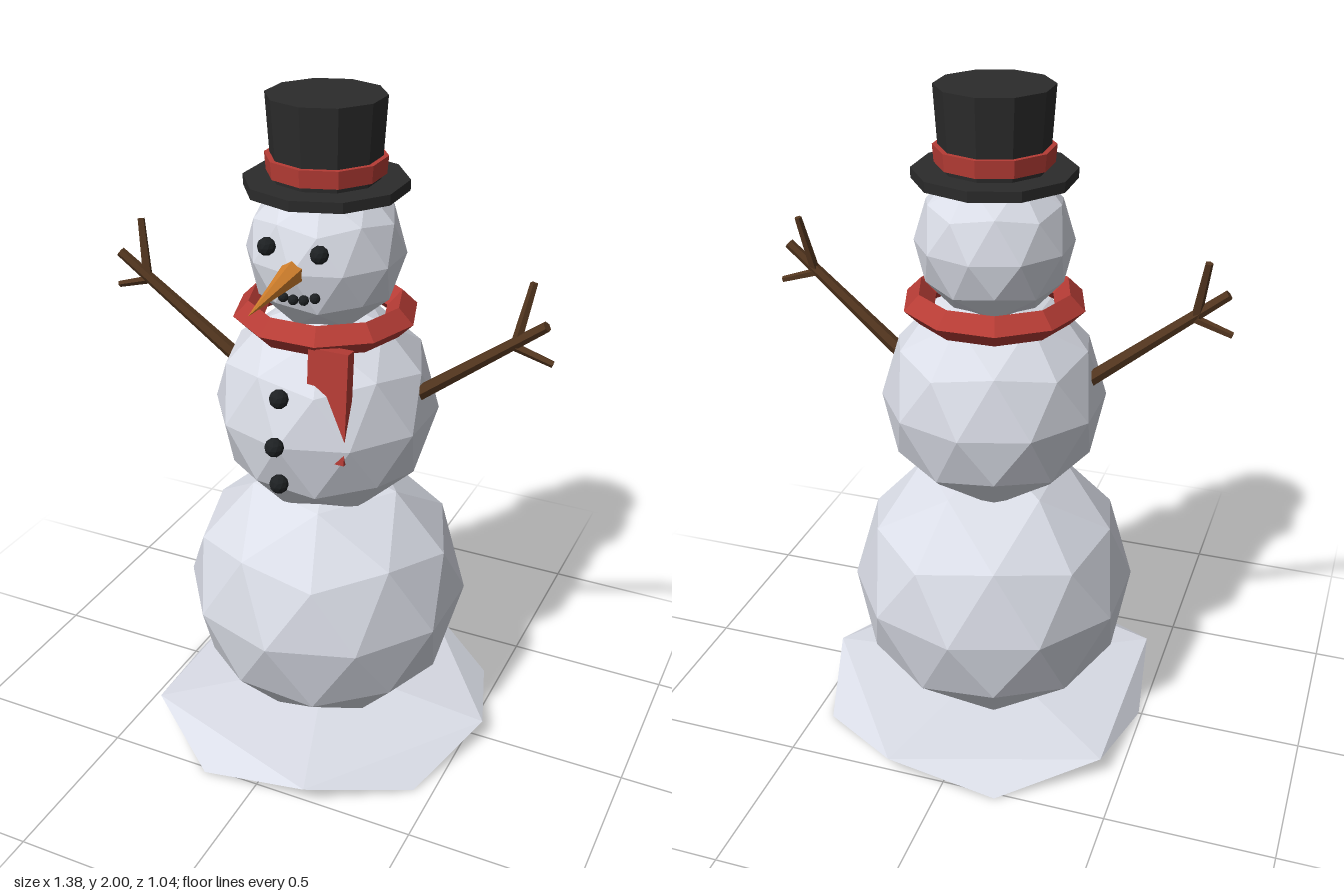
import * as THREE from 'three';

const material = (name, color) => {
  const m = new THREE.MeshStandardMaterial({ color });
  m.name = name;
  return m;
};

// Low-poly look: every face gets its own normal
function flat(geometry) {
  const g = geometry.index ? geometry.toNonIndexed() : geometry;
  g.computeVertexNormals();
  return g;
}

// Icosahedron ball standing on a vertex, with one upper-ring vertex towards +x
function ico(radius, detail) {
  return new THREE.IcosahedronGeometry(radius, detail)
    .rotateZ(-Math.atan(2 / (1 + Math.sqrt(5))));
}

export function createModel() {
  const model = new THREE.Group();
  model.name = 'snowman';

  const snow = material('snow', 0xdcdfe9);
  const red = material('scarfRed', 0xb63c35);
  const black = material('hatBlack', 0x2b2b2b);
  const coal = material('coal', 0x1d2022);
  const orange = material('carrot', 0xd07f2c);
  const wood = material('wood', 0x53361f);

  function add(name, geometry, mat, x = 0, y = 0, z = 0, parent = model) {
    const mesh = new THREE.Mesh(flat(geometry), mat);
    mesh.name = name;
    mesh.position.set(x, y, z);
    parent.add(mesh);
    return mesh;
  }

  // Tapered stick from point a to point b
  function stick(name, a, b, ra, rb, sides, mat, parent = model) {
    const from = new THREE.Vector3(...a), to = new THREE.Vector3(...b);
    const dir = to.clone().sub(from);
    const mesh = add(name, new THREE.CylinderGeometry(rb, ra, dir.length(), sides), mat, 0, 0, 0, parent);
    mesh.position.copy(from).add(to).multiplyScalar(0.5);
    mesh.quaternion.setFromUnitVectors(new THREE.Vector3(0, 1, 0), dir.normalize());
    return mesh;
  }

  // Snow mound: flattened icosahedron with its lower half pressed to the ground
  const mound = ico(0.612, 0);
  const p = mound.attributes.position;
  for (let i = 0; i < p.count; i++) {
    const y = p.getY(i);
    p.setY(i, y > 0.5 ? 0.11 : y > 0 ? 0.06 : 0);
    if (p.getX(i) < -0.52) p.setX(i, -0.49);
  }
  add('snowMound', mound, snow);

  // Three snowballs
  add('lowerBody', ico(0.435, 1), snow, 0, 0.45, -0.008);
  add('upperBody', ico(0.333, 1), snow, 0, 1.08, -0.005);
  add('head', ico(0.229, 1), snow, 0, 1.56, 0);

  // Scarf ring and hanging end
  add('scarf', new THREE.TorusGeometry(0.225, 0.045, 4, 10).rotateX(Math.PI / 2), red, 0, 1.375, 0);
  const tail = add('scarfEnd', new THREE.BoxGeometry(0.12, 0.33, 0.04), red, 0.12, 1.2, 0.237);
  tail.rotation.x = -0.08;

  // Top hat
  const hat = new THREE.Group();
  hat.name = 'hat';
  model.add(hat);
  add('brim', new THREE.CylinderGeometry(0.233, 0.233, 0.03, 10), black, 0, 1.755, 0, hat);
  add('crown', new THREE.CylinderGeometry(0.168, 0.152, 0.24, 10), black, 0, 1.88, 0, hat);
  add('hatBand', new THREE.CylinderGeometry(0.172, 0.168, 0.05, 10), red, 0, 1.81, 0, hat);

  // Carrot nose
  stick('nose', [0, 1.565, 0.19], [0, 1.535, 0.465], 0.038, 0.001, 6, orange);

  // Coal eyes, mouth and buttons
  for (const s of [1, -1])
    add(s > 0 ? 'leftEye' : 'rightEye', ico(0.026, 1), coal, s * 0.079, 1.625, 0.211);
  for (let i = -2; i <= 2; i++)
    add('mouthCoal', ico(0.015, 1), coal, i * 0.031, 1.484 + i * i * 0.0028, 0.212 - i * i * 0.002);
  for (const [y, z] of [[1.225, 0.307], [1.09, 0.34], [0.96, 0.315]])
    add('button', ico(0.028, 1), coal, 0, y, z);

  // Branch arms with two twigs each
  for (const s of [1, -1]) {
    const arm = new THREE.Group();
    arm.name = s > 0 ? 'leftArm' : 'rightArm';
    model.add(arm);
    stick('branch', [s * 0.27, 1.15, 0], [s * 0.665, 1.46, 0.04], 0.023, 0.015, 6, wood, arm);
    stick('upperTwig', [s * 0.58, 1.39, 0.03], [s * 0.61, 1.56, 0], 0.015, 0.011, 5, wood, arm);
    stick('lowerTwig', [s * 0.565, 1.385, 0.03], [s * 0.685, 1.347, 0.025], 0.013, 0.01, 5, wood, arm);
  }

  return model;
}
